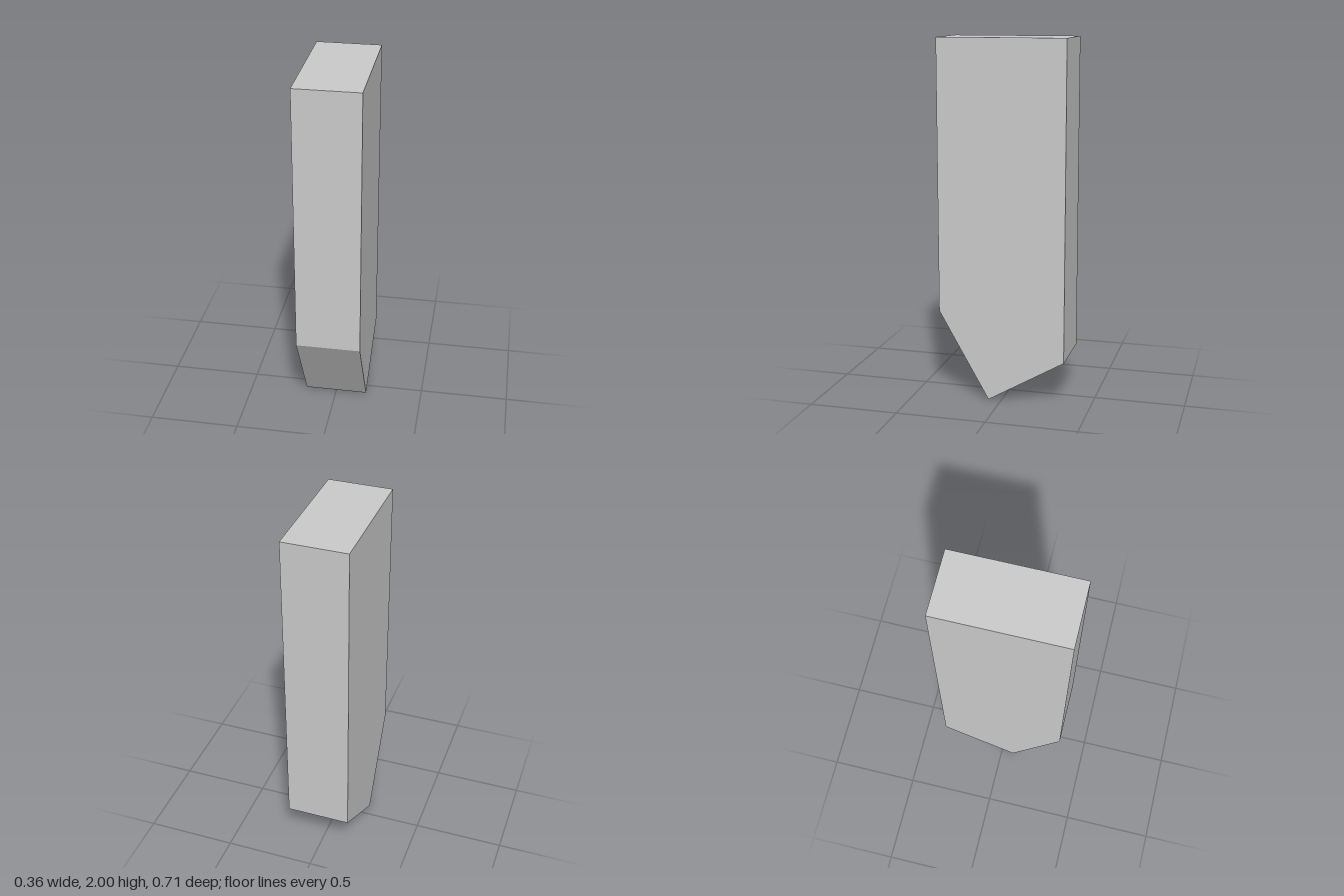
import * as THREE from 'three';

// Rectangular bar whose lower end is cut to an off-centre wedge
export function createModel() {
  const group = new THREE.Group();
  const halfDepth = 0.355, width = 0.356;

  // Side profile as [z, y]
  const profile = [
    [halfDepth, 2],
    [halfDepth, 0.495],
    [0.072, 0],
    [-halfDepth, 0.248],
    [-halfDepth, 2],
  ];
  const shape = new THREE.Shape(profile.map(([z, y]) => new THREE.Vector2(-z, y)));

  // Extrude across the width, then turn the profile into the z-y plane
  const geometry = new THREE.ExtrudeGeometry(shape, { depth: width, bevelEnabled: false });
  geometry.translate(0, 0, -width / 2);
  geometry.rotateY(Math.PI / 2);

  const bar = new THREE.Mesh(
    geometry,
    new THREE.MeshStandardMaterial({ color: 0xcccccc, flatShading: true })
  );
  bar.name = 'pointedBar';
  group.add(bar);
  return group;
}
